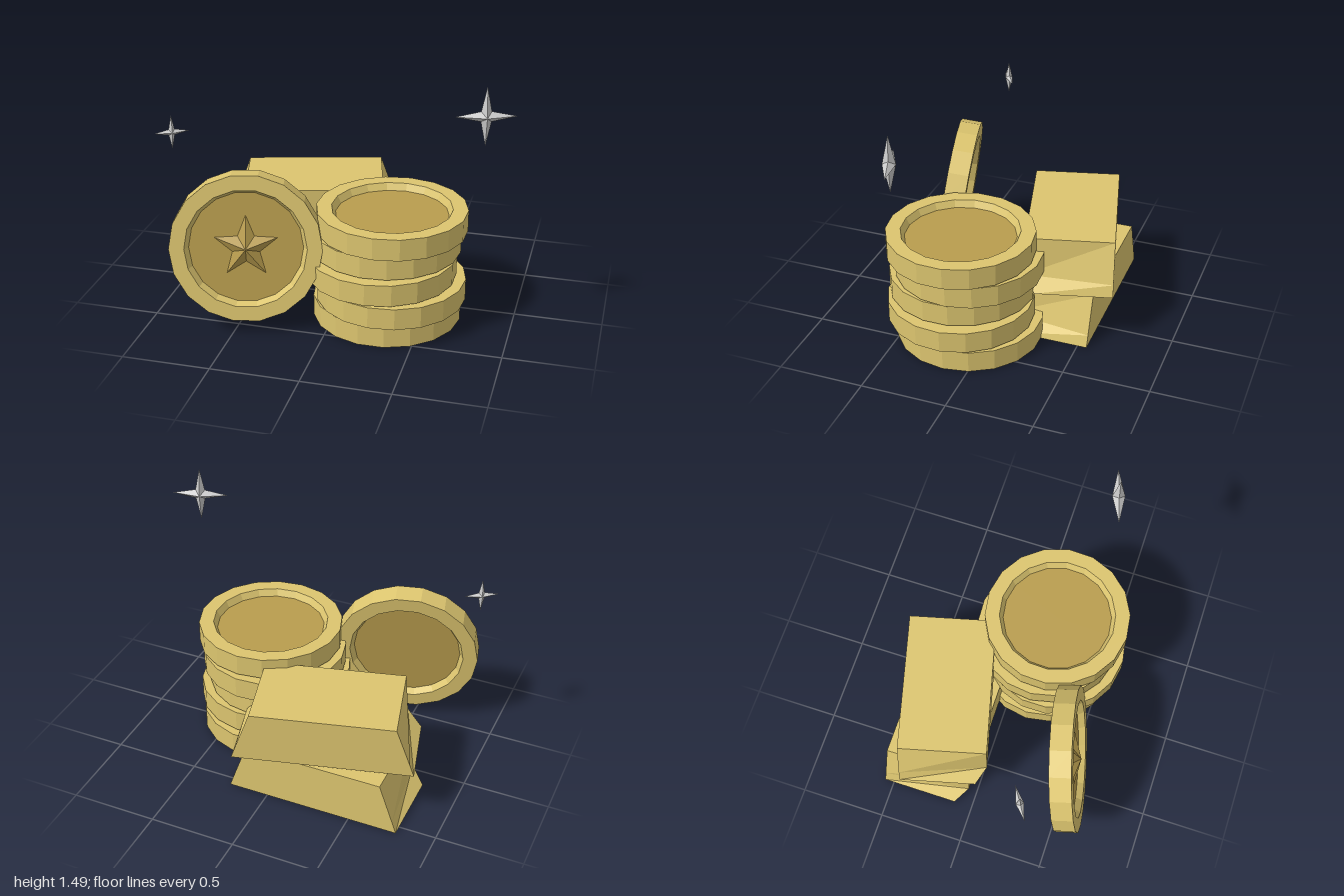
import * as THREE from 'three';

const rad = THREE.MathUtils.degToRad;
const mat = (color) => new THREE.MeshStandardMaterial({ color, flatShading: true, side: THREE.DoubleSide });

// Pointed relief: a zigzag outline joined to an apex in front and behind
function starGeometry(points, outer, inner, front, back) {
  const pos = [0, 0, front, 0, 0, -back], index = [], n = points * 2;
  for (let i = 0; i < n; i++) {
    const a = Math.PI / 2 + (i * Math.PI) / points;
    const r = i % 2 ? inner : outer;
    pos.push(r * Math.cos(a), r * Math.sin(a), 0);
    const p = 2 + i, q = 2 + ((i + 1) % n);
    index.push(0, p, q, 1, q, p);
  }
  const g = new THREE.BufferGeometry();
  g.setAttribute('position', new THREE.Float32BufferAttribute(pos, 3));
  g.setIndex(index);
  const flat = g.toNonIndexed();
  flat.computeVertexNormals();
  return flat;
}

// Ingot: three stacked rectangular loops, tapering along x, with the lower front edge cut off
function ingotGeometry() {
  const rings = [
    { y: 0, back: 0.51, front: 0.51, depth: 0.445 },
    { y: 0.07, back: 0.486, front: 0.422, depth: 0.51 },
    { y: 0.3, back: 0.405, front: 0.405, depth: 0.51 },
  ];
  const pos = [], index = [];
  for (const { y, back, front, depth } of rings)
    pos.push(-back, y, 0, -front, y, depth, front, y, depth, back, y, 0);
  for (let k = 0; k < 2; k++)
    for (let i = 0; i < 4; i++) {
      const a = k * 4 + i, b = k * 4 + ((i + 1) % 4);
      index.push(a, b, b + 4, a, b + 4, a + 4);
    }
  index.push(0, 2, 1, 0, 3, 2, 8, 9, 10, 8, 10, 11);
  const g = new THREE.BufferGeometry();
  g.setAttribute('position', new THREE.Float32BufferAttribute(pos, 3));
  g.setIndex(index);
  const flat = g.toNonIndexed();
  flat.computeVertexNormals();
  return flat;
}

export function createModel() {
  const model = new THREE.Group();
  const gold = mat(0xdcc56f), darkGold = mat(0xb99d4e), silver = mat(0xcccccc);

  const add = (parent, name, geometry, material) => {
    const m = new THREE.Mesh(geometry, material);
    m.name = name;
    parent.add(m);
    return m;
  };

  // Coin: raised rim with a sunken floor on both faces
  const sides = 18, half = 0.0625, floorY = half - 0.04;
  const v = (x, y) => new THREE.Vector2(x, y);
  const rimGeo = new THREE.LatheGeometry([
    v(0.318, -floorY), v(0.34, -half), v(0.425, -half),
    v(0.425, half), v(0.34, half), v(0.318, floorY),
  ], sides).rotateY(Math.PI / 2);
  const floorGeo = new THREE.CylinderGeometry(0.318, 0.318, floorY * 2, sides).rotateY(Math.PI / 2);
  const coin = (name) => {
    const g = new THREE.Group();
    g.name = name;
    add(g, 'coinRim', rimGeo, gold);
    add(g, 'coinFloor', floorGeo, darkGold);
    return g;
  };

  // Stack of five coins: x, y, z, turn
  [
    [0.28, 0.065, 0.14, 0],
    [0.31, 0.203, 0.182, 5],
    [0.255, 0.343, 0.19, 10],
    [0.27, 0.482, 0.143, 3],
    [0.31, 0.618, 0.178, 8],
  ].forEach(([x, y, z, turn], i) => {
    const c = coin('stackedCoin' + (i + 1));
    c.position.set(x, y, z);
    c.rotation.y = rad(turn);
    model.add(c);
  });

  // Coin leaning back, with a star on its front face
  const leaning = new THREE.Group();
  leaning.name = 'leaningCoin';
  const upright = coin('uprightCoin');
  upright.rotation.x = Math.PI / 2;
  leaning.add(upright);
  add(leaning, 'coinStar', starGeometry(5, 0.185, 0.08, 0.05, 0.01), darkGold).position.z = floorY + 0.001;
  leaning.position.set(-0.445, 0.495, 0.49);
  leaning.rotation.set(rad(-8), rad(14), 0, 'YXZ');
  model.add(leaning);

  // Two gold bars, the upper one turned
  const barGeo = ingotGeometry();
  add(model, 'lowerBar', barGeo, gold).position.set(-0.275, 0, -0.555);
  const upper = add(model, 'upperBar', barGeo, gold);
  upper.position.set(-0.335, 0.322, -0.55);
  upper.rotation.y = rad(14.5);

  // Floating four-pointed sparkles: x, y, z, radius, turn
  [
    [0.835, 1.325, 0.342, 0.165, 17],
    [-0.912, 1.07, 0.342, 0.1, 32],
  ].forEach(([x, y, z, r, turn], i) => {
    const s = add(model, i ? 'smallSparkle' : 'largeSparkle', starGeometry(4, r, r * 0.24, r * 0.22, r * 0.22), silver);
    s.position.set(x, y, z);
    s.rotation.y = rad(turn);
  });

  return model;
}
